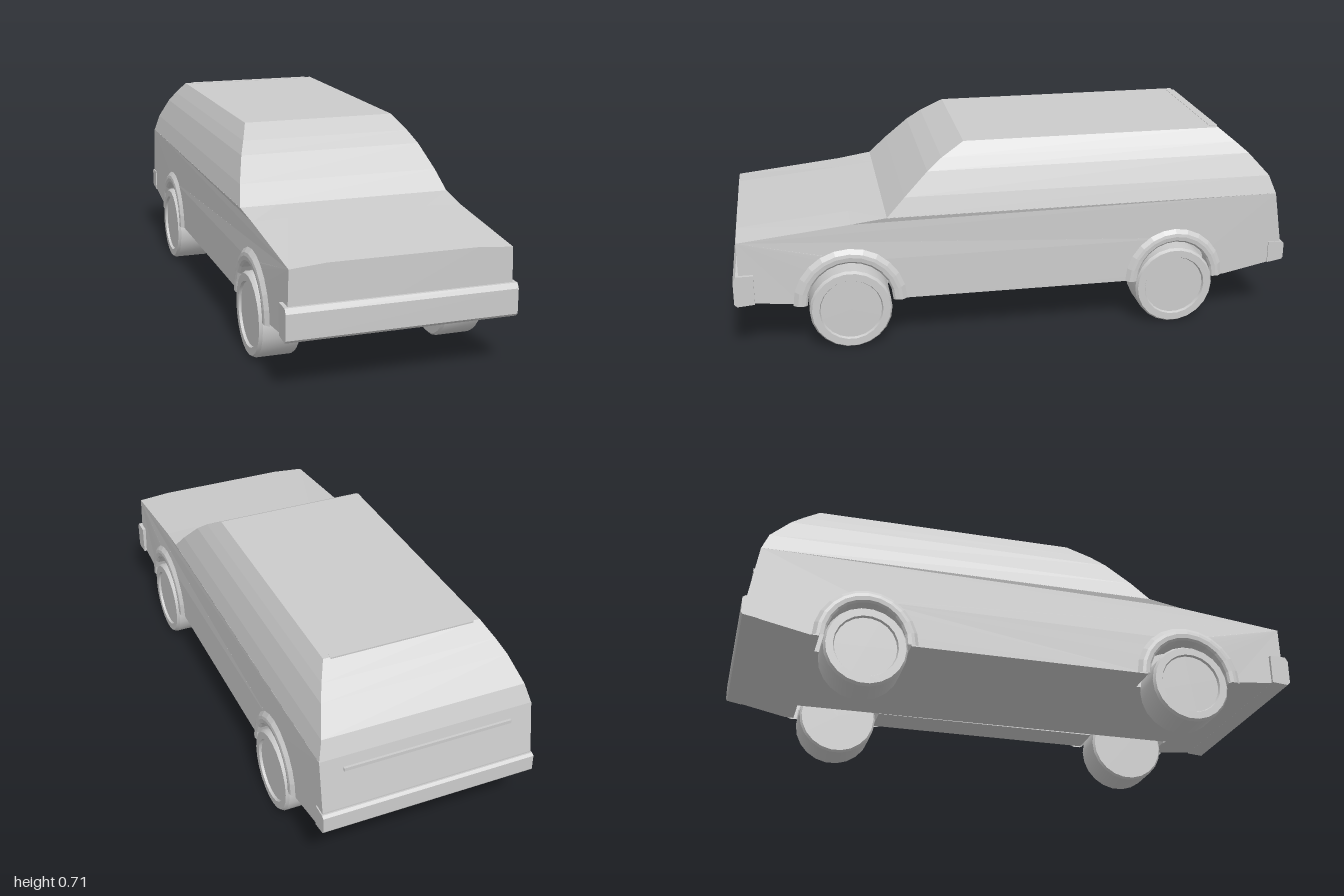
import * as THREE from 'three';
import { toCreasedNormals } from 'three/addons/utils/BufferGeometryUtils.js';

const flat = new THREE.MeshStandardMaterial({ color: 0xcccccc, flatShading: true, side: THREE.DoubleSide });
const smooth = new THREE.MeshStandardMaterial({ color: 0xcccccc });
const AXLES = [0.6, -0.58];
const WELL = 0.157;

function add(parent, name, geometry, material = flat) {
  const mesh = new THREE.Mesh(geometry, material);
  mesh.name = name;
  parent.add(mesh);
  return mesh;
}

// Extrudes a (z, y) side profile across the car from x0 to x1
function across(shape, x0, x1) {
  const g = new THREE.ExtrudeGeometry(shape, { depth: x1 - x0, bevelEnabled: false, curveSegments: 14 });
  return g.rotateY(-Math.PI / 2).translate(x1, 0, 0);
}

// Side profile of the lower body, with or without wheel openings
function lowerProfile(withWells) {
  const s = new THREE.Shape();
  s.moveTo(-0.985, 0.215);
  s.lineTo(-0.77, 0.17);
  if (withWells) {
    for (const z of [...AXLES].reverse()) {
      s.lineTo(z - WELL, 0.17);
      s.absarc(z, 0.17, WELL, Math.PI, 0, true);
    }
  }
  s.lineTo(0.77, 0.175);
  s.lineTo(0.98, 0.195);
  s.lineTo(0.98, 0.425);
  s.lineTo(0.59, 0.462);
  s.lineTo(0.465, 0.475);
  s.lineTo(-0.955, 0.475);
  s.lineTo(-0.985, 0.29);
  s.closePath();
  return s;
}

// Outer strip of the body, with the hood edge dropping towards the fender
function sidePanel(side) {
  const g = side > 0 ? across(lowerProfile(true), 0.25, 0.38) : across(lowerProfile(true), -0.38, -0.25);
  const p = g.attributes.position;
  for (let i = 0; i < p.count; i++) {
    if (Math.abs(p.getX(i)) > 0.37 && p.getY(i) > 0.4 && p.getZ(i) > 0.5) {
      p.setX(i, side * 0.374);
      p.setY(i, p.getY(i) - (p.getZ(i) > 0.9 ? 0.01 : 0.005));
    }
  }
  return g;
}

// Cabin levels: height, front z, back z, half width
const LEVELS = [
  [0.474, 0.465, -0.955, 0.38],
  [0.54, 0.4, -0.93, 0.362],
  [0.62, 0.315, -0.858, 0.332],
  [0.66, 0.262, -0.812, 0.31],
  [0.707, 0.18, -0.755, 0.28],
];

function cabinGeometry() {
  const pos = [], idx = [];
  for (const [y, f, b, w] of LEVELS) pos.push(w, y, f, w, y, b, -w, y, b, -w, y, f);
  for (let l = 0; l < LEVELS.length - 1; l++) {
    for (let k = 0; k < 4; k++) {
      const a = l * 4 + k, b = l * 4 + (k + 1) % 4;
      idx.push(a, b, b + 4, a, b + 4, a + 4);
    }
  }
  const t = (LEVELS.length - 1) * 4;
  idx.push(t, t + 1, t + 2, t, t + 2, t + 3);
  const g = new THREE.BufferGeometry();
  g.setAttribute('position', new THREE.Float32BufferAttribute(pos, 3));
  g.setIndex(idx);
  const out = g.toNonIndexed();
  out.computeVertexNormals();
  return out;
}

// Lathe about the x axis; profile points are [radius, x]
function axleLathe(points, segments, start = 0, length = Math.PI * 2) {
  const g = new THREE.LatheGeometry(points.map(([r, x]) => new THREE.Vector2(r, x)), segments, start, length);
  return g.rotateZ(-Math.PI / 2);
}

function createWheel() {
  const wheel = new THREE.Group();
  wheel.name = 'wheel';
  const tyre = axleLathe([[0, 0.256], [0.138, 0.256], [0.145, 0.264], [0.145, 0.386], [0.138, 0.397], [0.112, 0.397], [0.108, 0.388], [0, 0.388]], 22);
  add(wheel, 'tyre', toCreasedNormals(tyre, 0.5), smooth);
  return wheel;
}

function createFlare() {
  return axleLathe([[0.15, 0.35], [0.15, 0.385], [0.157, 0.392], [0.172, 0.394], [0.184, 0.392], [0.2, 0.379]], 12, Math.PI, Math.PI);
}

export function createModel() {
  const car = new THREE.Group();
  car.name = 'car';

  // Body
  add(car, 'bodyCore', across(lowerProfile(false), -0.25, 0.25));
  add(car, 'leftSide', sidePanel(1));
  add(car, 'rightSide', sidePanel(-1));
  add(car, 'cabin', cabinGeometry());

  // Bumpers
  const front = new THREE.Shape([[0.93, 0.19], [0.99, 0.185], [1, 0.195], [1, 0.28], [0.99, 0.297], [0.93, 0.297]].map(([z, y]) => new THREE.Vector2(z, y)));
  add(car, 'frontBumper', across(front, -0.39, 0.39));
  const rear = new THREE.Shape([[-0.94, 0.205], [-0.995, 0.215], [-1, 0.222], [-1, 0.278], [-0.99, 0.285], [-0.94, 0.285]].map(([z, y]) => new THREE.Vector2(z, y)));
  add(car, 'rearBumper', across(rear, -0.384, 0.384));

  // Tailgate ledge and roof edge
  const ledge = add(car, 'tailgateLedge', new THREE.BoxGeometry(0.6, 0.012, 0.02));
  ledge.position.set(0, 0.43, -0.96);
  const lip = add(car, 'roofEdge', new THREE.BoxGeometry(0.51, 0.008, 0.03));
  lip.position.set(0, 0.704, -0.745);

  // Wheels and arch flares, turned half round for the right side
  for (const z of AXLES) {
    for (const turn of [0, Math.PI]) {
      const corner = new THREE.Group();
      corner.name = (z > 0 ? 'front' : 'rear') + (turn ? 'Right' : 'Left') + 'Corner';
      corner.position.z = z;
      corner.rotation.y = turn;
      const wheel = createWheel();
      wheel.position.y = 0.145;
      const flare = add(corner, 'archFlare', createFlare());
      flare.position.y = 0.17;
      if (z < 0) flare.scale.set(1, 0.96, 0.92);
      corner.add(wheel);
      car.add(corner);
    }
  }
  return car;
}
